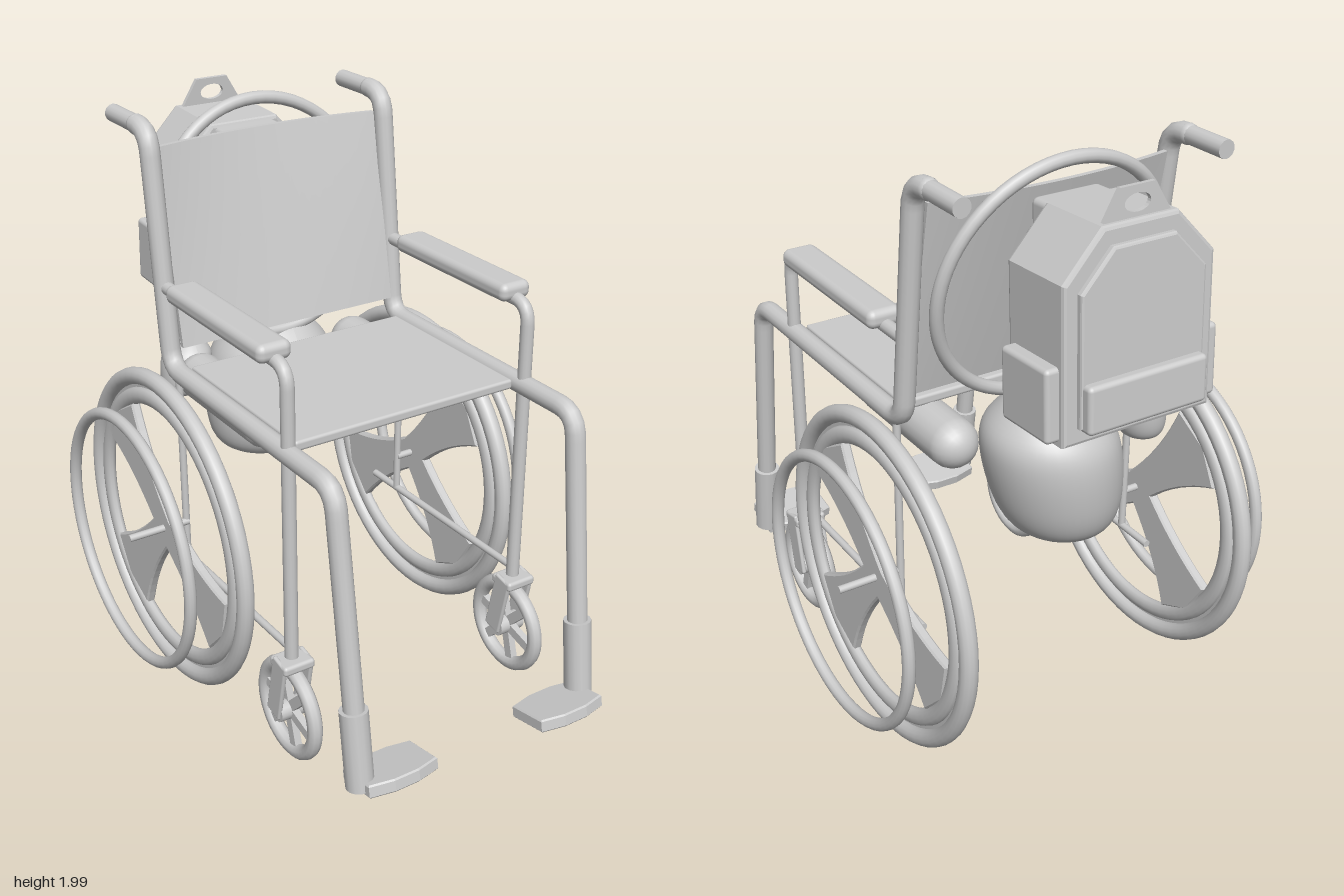
import * as THREE from 'three';
import { RoundedBoxGeometry } from 'three/addons/geometries/RoundedBoxGeometry.js';

const V = (x, y, z) => new THREE.Vector3(x, y, z);
const mat = new THREE.MeshStandardMaterial({ color: 0xcccccc, side: THREE.DoubleSide });

function add(parent, name, geo, x = 0, y = 0, z = 0) {
  const m = new THREE.Mesh(geo, mat);
  m.name = name;
  m.position.set(x, y, z);
  parent.add(m);
  return m;
}

// straight rod between two points
function rod(parent, name, a, b, r) {
  const m = add(parent, name, new THREE.CylinderGeometry(r, r, a.distanceTo(b), 14));
  m.position.copy(a).lerp(b, 0.5);
  m.quaternion.setFromUnitVectors(V(0, 1, 0), b.clone().sub(a).normalize());
  return m;
}

// bent pipe: straight runs with rounded corners of size c, closed ends
function pipe(parent, name, pts, r, c) {
  const path = new THREE.CurvePath();
  let last = pts[0];
  for (let i = 1; i < pts.length - 1; i++) {
    const p = pts[i];
    const a = p.clone().add(pts[i - 1].clone().sub(p).setLength(c));
    const b = p.clone().add(pts[i + 1].clone().sub(p).setLength(c));
    path.add(new THREE.LineCurve3(last, a));
    path.add(new THREE.QuadraticBezierCurve3(a, p, b));
    last = b;
  }
  const end = pts[pts.length - 1];
  path.add(new THREE.LineCurve3(last, end));
  add(parent, name, new THREE.TubeGeometry(path, 100, r, 14));
  for (const p of [pts[0], end]) add(parent, name + 'End', new THREE.SphereGeometry(r, 14, 8), p.x, p.y, p.z);
}

// flared wheel arm, pointing along +x
function armGeometry() {
  const s = new THREE.Shape();
  s.moveTo(-0.05, -0.055);
  s.quadraticCurveTo(0.2, -0.05, 0.42, -0.14);
  s.lineTo(0.46, 0);
  s.lineTo(0.42, 0.13);
  s.quadraticCurveTo(0.22, 0.04, -0.05, 0.055);
  s.closePath();
  return new THREE.ExtrudeGeometry(s, { depth: 0.022, bevelEnabled: true, bevelSize: 0.006, bevelThickness: 0.006, bevelSegments: 1, curveSegments: 10 })
    .translate(0, 0, -0.011);
}

function driveWheel(side) {
  const g = new THREE.Group();
  g.name = 'driveWheel';
  add(g, 'tyre', new THREE.TorusGeometry(0.546, 0.03, 14, 64));
  add(g, 'rim', new THREE.TorusGeometry(0.475, 0.03, 12, 64)).scale.z = 0.7;
  const web = new THREE.RingGeometry(0.49, 0.53, 64);
  add(g, 'rimWeb', web);
  for (const a of [136, 332, 228]) add(g, 'wheelArm', armGeometry()).rotation.z = THREE.MathUtils.degToRad(a);
  add(g, 'pushRim', new THREE.TorusGeometry(0.447, 0.021, 12, 64), 0, 0, 0.148);
  rod(g, 'axle', V(0, 0, -0.08), V(0, 0, 0.15), 0.013);
  g.position.set(side * 0.53, 0.58, -0.28);
  g.rotation.y = side * Math.PI / 2;
  return g;
}

function caster(side) {
  const g = new THREE.Group();
  g.name = 'caster';
  const wheel = new THREE.Group();
  wheel.name = 'casterWheel';
  g.add(wheel);
  add(wheel, 'casterTyre', new THREE.TorusGeometry(0.155, 0.026, 10, 40));
  for (let i = 0; i < 6; i++) {
    const a = i * Math.PI / 3 + 0.25;
    add(wheel, 'casterSpoke', new THREE.BoxGeometry(0.13, 0.035, 0.025), Math.cos(a) * 0.085, Math.sin(a) * 0.085, 0).rotation.z = a;
  }
  const hub = add(wheel, 'casterHub', new THREE.CylinderGeometry(0.035, 0.035, 0.1, 16));
  hub.rotation.x = Math.PI / 2;
  wheel.rotation.y = Math.PI / 2;
  // fork straddling the wheel
  for (const s of [-1, 1]) {
    add(g, 'forkBlade', new RoundedBoxGeometry(0.016, 0.23, 0.075, 2, 0.007), s * 0.05, 0.1, 0.005).rotation.x = 0.2;
  }
  add(g, 'forkCrown', new RoundedBoxGeometry(0.116, 0.035, 0.1, 2, 0.012), 0, 0.195, 0.02);
  g.position.set(side * 0.455, 0.21, 0.41);
  return g;
}

function sideFrame(s) {
  const g = new THREE.Group();
  g.name = 'sideFrame';
  const x = s * 0.455;
  pipe(g, 'mainTube', [V(s * 0.445, 0.17, 0.81), V(x, 1.155, 0.68), V(x, 1.155, -0.33), V(x, 1.955, -0.42), V(x, 1.955, -0.5)], 0.034, 0.075);
  rod(g, 'pushHandle', V(x, 1.955, -0.47), V(x, 1.955, -0.675), 0.03);
  rod(g, 'legSleeve', V(s * 0.445, 0.16, 0.81), V(s * 0.448, 0.43, 0.775), 0.047);
  // footplate with cut corners
  const f = new THREE.Shape([[0, -0.07], [0.08, -0.09], [0.17, -0.09], [0.25, -0.07], [0.25, 0.07], [0.17, 0.09], [0.08, 0.09], [0, 0.07]]
    .map(p => new THREE.Vector2(s * (0.2 + p[0]), p[1])));
  const plate = add(g, 'footplate', new THREE.ExtrudeGeometry(f, { depth: 0.035, bevelEnabled: true, bevelSize: 0.005, bevelThickness: 0.005, bevelSegments: 1 }), 0, 0.185, s > 0 ? 0.84 : 0.8);
  plate.rotation.x = Math.PI / 2 - 0.2;
  // armrest and lower frame
  pipe(g, 'armTube', [V(x, 0.4, 0.425), V(x, 1.44, 0.425), V(x, 1.44, -0.36)], 0.023, 0.07);
  add(g, 'armPad', new RoundedBoxGeometry(0.12, 0.062, 0.61, 3, 0.025), x, 1.463, 0.062);
  rod(g, 'lowerRail', V(x, 0.45, 0.42), V(x, 0.44, -0.43), 0.013);
  rod(g, 'rearPost', V(x, 0.44, -0.285), V(x, 1.14, -0.285), 0.013);
  // rolled bundle below the seat
  add(g, 'underseatRoll', new THREE.CapsuleGeometry(0.083, 0.43, 8, 20), s * 0.315, 1.065, -0.17).rotation.x = Math.PI / 2;
  return g;
}

// soft flask, origin at its base, leaning slightly to one side
function flaskGeometry() {
  const pts = [[0, 0], [0.11, 0.005], [0.18, 0.045], [0.22, 0.14], [0.235, 0.29], [0.215, 0.39], [0.14, 0.47], [0.07, 0.515], [0.055, 0.55], [0.08, 0.585], [0.07, 0.605], [0, 0.6]]
    .map(p => new THREE.Vector2(...p));
  const geo = new THREE.LatheGeometry(new THREE.SplineCurve(pts).getPoints(60).map(p => p.setX(Math.max(0, p.x))), 40);
  const pos = geo.attributes.position;
  for (let i = 0; i < pos.count; i++) {
    const y = pos.getY(i);
    pos.setX(i, pos.getX(i) * 0.95 + (y < 0.5 ? (y - 0.25) * 0.16 : 0.04 - (y - 0.5) * 0.3));
  }
  geo.computeVertexNormals();
  return geo;
}

function backpack() {
  const g = new THREE.Group();
  g.name = 'backpack';
  const house = k => new THREE.Shape([[-0.26, -0.32], [0.26, -0.32], [0.26, 0.17], [0.13, 0.31], [-0.13, 0.31], [-0.26, 0.17]]
    .map(p => new THREE.Vector2(p[0] * k, p[1] * k)));
  const bevel = (depth, b) => ({ depth, bevelEnabled: true, bevelSize: b, bevelThickness: b, bevelSegments: 2 });
  add(g, 'packBody', new THREE.ExtrudeGeometry(house(0.96), bevel(0.25, 0.012)), 0, 0, -0.125);
  add(g, 'packBackPanel', new THREE.ExtrudeGeometry(house(0.8), bevel(0.02, 0.008)), 0, 0, -0.15);
  add(g, 'rearPocket', new RoundedBoxGeometry(0.42, 0.15, 0.07, 3, 0.015), 0, -0.2, -0.155);
  for (const s of [-1, 1]) {
    add(g, 'sidePocket', new RoundedBoxGeometry(0.08, 0.23, 0.23, 3, 0.015), s * 0.265, -0.19, 0);
    const strap = new THREE.CatmullRomCurve3([V(s * 0.11, 0.22, 0.14), V(s * 0.12, 0.2, 0.22), V(s * 0.13, 0, 0.22), V(s * 0.13, -0.17, 0.24), V(s * 0.14, -0.26, 0.19), V(s * 0.15, -0.31, 0.12)]);
    add(g, 'shoulderStrap', new THREE.TubeGeometry(strap, 40, 0.012, 8));
  }
  add(g, 'packLid', new RoundedBoxGeometry(0.24, 0.12, 0.12, 2, 0.02), 0, 0.24, 0.17);
  // carry loop
  const loop = new THREE.Shape([[-0.12, 0], [0.12, 0], [0.06, 0.1], [-0.06, 0.1]].map(p => new THREE.Vector2(...p)));
  const hole = new THREE.Path();
  hole.absellipse(0, 0.05, 0.045, 0.027, 0, Math.PI * 2);
  loop.holes.push(hole);
  add(g, 'carryLoop', new THREE.ExtrudeGeometry(loop, { depth: 0.015, bevelEnabled: false }), 0, 0.3, -0.115);
  g.position.set(0, 1.58, -0.745);
  g.rotation.x = 0.05;
  return g;
}

export function createModel() {
  const model = new THREE.Group();
  model.name = 'wheelchair';
  for (const s of [-1, 1]) model.add(sideFrame(s), driveWheel(s), caster(s));

  add(model, 'seat', new RoundedBoxGeometry(0.84, 0.035, 0.67, 2, 0.01), 0, 1.16, 0.075);

  // backrest sheet, bowed towards the rear and reclined
  const back = new THREE.BoxGeometry(0.85, 0.66, 0.018, 20, 4, 1);
  const p = back.attributes.position;
  for (let i = 0; i < p.count; i++) {
    const x = p.getX(i) / 0.425, t = p.getY(i) / 0.66 + 0.5;
    p.setZ(i, p.getZ(i) - 0.31 - 0.125 * t - 0.045 * t * (1 - x * x));
  }
  back.computeVertexNormals();
  add(model, 'backrest', back, 0, 1.56, 0);

  // hoop carried behind the backrest
  add(model, 'rearHoop', new THREE.TorusGeometry(0.405, 0.022, 12, 64), 0, 1.575, -0.455).rotation.x = -0.2;

  add(model, 'largeFlask', flaskGeometry(), 0, 0.7, -0.48);
  add(model, 'smallFlask', flaskGeometry(), -0.315, 0.965, -0.51).scale.setScalar(0.4);
  model.add(backpack());
  return model;
}
